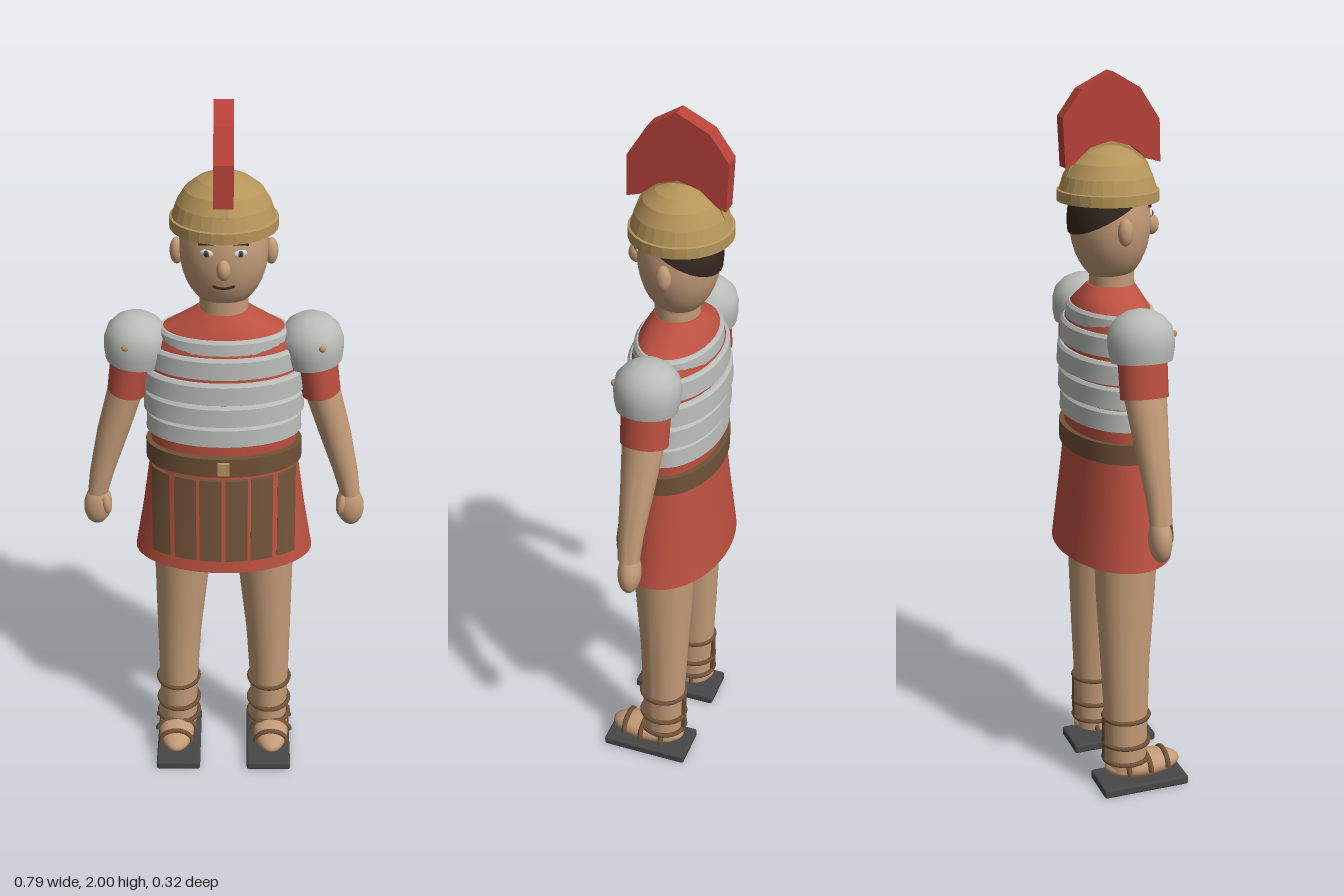
import * as THREE from 'three';
import { toCreasedNormals } from 'three/addons/utils/BufferGeometryUtils.js';
import { RoundedBoxGeometry } from 'three/addons/geometries/RoundedBoxGeometry.js';

const paint = (name, color) => {
  const m = new THREE.MeshStandardMaterial({ color });
  m.name = name;
  return m;
};

// Closed solid through elliptical rings, listed bottom to top as [cx, y, cz, rx, rz]
function loft(rings, sides = 32, crease = 0.5) {
  const pos = [], idx = [];
  for (const [cx, y, cz, rx, rz] of rings) {
    for (let i = 0; i < sides; i++) {
      const a = (i / sides) * Math.PI * 2;
      pos.push(cx + rx * Math.cos(a), y, cz + rz * Math.sin(a));
    }
  }
  const last = (rings.length - 1) * sides, c = rings.length * sides;
  for (const r of [rings[0], rings[rings.length - 1]]) pos.push(r[0], r[1], r[2]);
  for (let i = 0; i < sides; i++) {
    const j = (i + 1) % sides;
    for (let k = 0; k < last; k += sides) {
      idx.push(k + i, k + sides + i, k + j, k + j, k + sides + i, k + sides + j);
    }
    idx.push(c, i, j, c + 1, last + j, last + i);
  }
  const g = new THREE.BufferGeometry();
  g.setAttribute('position', new THREE.Float32BufferAttribute(pos, 3));
  g.setIndex(idx);
  return toCreasedNormals(g, crease);
}

export function createModel() {
  const model = new THREE.Group();
  const skin = paint('skin', 0xc49c78), red = paint('tunic red', 0xbc5140);
  const plume = paint('crest red', 0xb9423a), steel = paint('steel', 0xb9bcb8);
  const brass = paint('brass', 0xb6955a), leather = paint('leather', 0x705238);
  const soleGrey = paint('sole grey', 0x484848), dark = paint('hair brown', 0x35281f);
  const white = paint('eye white', 0xe4e0d8), iris = paint('iris grey', 0x4a5560);

  const add = (name, geo, mat, x = 0, y = 0, z = 0) => {
    const m = new THREE.Mesh(geo, mat);
    m.name = name;
    m.position.set(x, y, z);
    model.add(m);
    return m;
  };
  const ball = (name, mat, x, y, z, rx, ry, rz) => {
    const m = add(name, new THREE.SphereGeometry(1, 28, 18), mat, x, y, z);
    m.scale.set(rx, ry, rz);
    return m;
  };

  // Tunic body, collar and skirt
  add('tunicBody', loft([
    [0, 0.98, -0.005, 0.2, 0.115], [0, 1.1, -0.005, 0.2, 0.115], [0, 1.25, -0.005, 0.205, 0.12],
    [0, 1.34, -0.005, 0.195, 0.115], [0, 1.39, -0.005, 0.165, 0.1], [0, 1.425, -0.005, 0.1, 0.08],
    [0, 1.447, -0.003, 0.068, 0.064]]), red);
  add('skirt', loft([
    [0, 0.705, -0.003, 0.25, 0.155], [0, 0.85, -0.003, 0.225, 0.138], [0, 1.01, -0.003, 0.202, 0.12]], 40), red);
  add('neck', loft([[0, 1.4, 0, 0.064, 0.06], [0, 1.5, 0, 0.064, 0.06]]), skin);

  // Overlapping armour hoops: [bottom, top, rx, rz]
  [[1.09, 1.146, 0.212, 0.128], [1.153, 1.211, 0.218, 0.132], [1.22, 1.278, 0.22, 0.135],
    [1.29, 1.347, 0.207, 0.127], [1.353, 1.392, 0.178, 0.112]].forEach(([b, t, rx, rz]) =>
    add('armourHoop', loft([
      [0, b, -0.005, rx, rz], [0, t - 0.008, -0.005, rx - 0.003, rz - 0.003],
      [0, t, -0.005, rx - 0.01, rz - 0.01]], 40), steel));

  // Belt, buckle and hanging straps that follow the skirt
  add('belt', loft([[0, 1.0, -0.003, 0.214, 0.132], [0, 1.055, -0.003, 0.214, 0.132]], 40), leather);
  add('buckle', new THREE.BoxGeometry(0.032, 0.036, 0.014), brass, 0, 1.028, 0.13);
  const skirtZ = (x, y) => {
    const k = (1 - y) / 0.29;
    const rx = 0.205 + 0.047 * k, rz = 0.123 + 0.034 * k;
    return rz * Math.sqrt(Math.max(0, 1 - (x / rx) ** 2));
  };
  for (const s of [-1, 1]) {
    for (const [x, w] of [[0.036, 0.06], [0.105, 0.06], [0.173, 0.05]]) {
      const g = new THREE.BoxGeometry(w, 0.24, 0.014, 5, 4, 1).translate(s * x, 0.868, 0);
      const p = g.attributes.position;
      for (let i = 0; i < p.count; i++) p.setZ(i, p.getZ(i) + skirtZ(p.getX(i), p.getY(i)));
      g.computeVertexNormals();
      add('skirtStrap', g, leather);
    }
  }

  // Head and face
  ball('head', skin, 0, 1.615, -0.005, 0.116, 0.166, 0.107);
  const faceZ = (x, y) => -0.005 + 0.107 * Math.sqrt(1 - (x / 0.116) ** 2 - ((y - 1.615) / 0.166) ** 2);
  ball('nose', skin, 0, 1.597, 0.113, 0.018, 0.027, 0.02);
  const hairGeo = new THREE.SphereGeometry(1, 32, 16, 0, Math.PI * 2, 0, 1.374);
  hairGeo.rotateX(-0.37).scale(0.12, 0.168, 0.113);
  add('hair', hairGeo, dark, 0, 1.615, -0.005);
  const mouth = [-0.028, -0.014, 0, 0.014, 0.028].map((x) => {
    const y = 1.538 + 8 * x * x;
    return new THREE.Vector3(x, y, faceZ(x, y));
  });
  add('mouth', new THREE.TubeGeometry(new THREE.CatmullRomCurve3(mouth), 12, 0.0035, 6), dark);
  for (const s of [-1, 1]) {
    ball('ear', skin, s * 0.122, 1.603, -0.005, 0.018, 0.036, 0.02);
    const x = s * 0.043, z = faceZ(0.043, 1.635);
    ball('eye', white, x, 1.635, z, 0.018, 0.01, 0.005).rotation.y = s * 0.4;
    ball('iris', iris, x, 1.635, z + 0.003, 0.008, 0.009, 0.004).rotation.y = s * 0.4;
    ball('pupil', dark, x, 1.635, z + 0.005, 0.004, 0.005, 0.003);
    const brow = add('eyebrow', new THREE.BoxGeometry(0.042, 0.008, 0.009), dark, x, 1.66, faceZ(0.043, 1.66));
    brow.rotation.set(-0.3, s * 0.4, -s * 0.06);
  }

  // Helmet, ridge and crest
  add('helmet', loft([
    [0, 1.67, -0.01, 0.14, 0.135], [0, 1.698, -0.01, 0.14, 0.135], [0, 1.7, -0.01, 0.134, 0.129],
    [0, 1.735, -0.01, 0.122, 0.118], [0, 1.77, -0.01, 0.1, 0.097], [0, 1.795, -0.01, 0.068, 0.066],
    [0, 1.81, -0.01, 0.03, 0.03], [0, 1.813, -0.01, 0.002, 0.002]], 28, 0.2), brass);
  const sideSlab = (pts, width) => {
    const shape = new THREE.Shape(pts.map(([z, y]) => new THREE.Vector2(-z, y)));
    return new THREE.ExtrudeGeometry(shape, { depth: width, bevelEnabled: false })
      .translate(0, 0, -width / 2).rotateY(Math.PI / 2);
  };
  const arch = (r, h, y0) => Array.from({ length: 13 }, (_, i) => {
    const a = (i / 12) * Math.PI;
    return [-0.01 + r * Math.cos(a), y0 + h * Math.sin(a)];
  });
  add('crestRidge', sideSlab(arch(0.122, 0.125, 1.703), 0.024), brass);
  add('crest', sideSlab([
    [0.127, 1.765], [0.124, 1.875], [0.07, 1.957], [-0.005, 2], [-0.09, 1.957], [-0.14, 1.888],
    [-0.134, 1.76], [-0.11, 1.77], [-0.065, 1.81], [-0.01, 1.825], [0.045, 1.81], [0.09, 1.775]], 0.05), plume);

  for (const s of [-1, 1]) {
    // Arm, sleeve, hand and shoulder guard
    add('arm', loft([
      [s * 0.352, 0.885, 0.01, 0.028, 0.03], [s * 0.338, 0.95, 0.009, 0.034, 0.034],
      [s * 0.302, 1.08, 0.002, 0.045, 0.045], [s * 0.266, 1.2, -0.002, 0.05, 0.056],
      [s * 0.235, 1.33, -0.003, 0.055, 0.058]], 24, 0.9), skin);
    add('sleeve', loft([
      [s * 0.262, 1.2, -0.003, 0.052, 0.064], [s * 0.235, 1.35, -0.003, 0.062, 0.066]], 28), red)
      .geometry.attributes.position.array.forEach((v, i, a) => {
        // hem dips towards the body
        if (i % 3 === 0 && a[i + 1] < 1.25) a[i + 1] += (s * v - 0.262) * 0.2;
      });
    ball('hand', skin, s * 0.354, 0.842, 0.008, 0.039, 0.062, 0.031).rotation.z = s * 0.12;
    ball('thumb', skin, s * 0.328, 0.852, 0.026, 0.013, 0.032, 0.013).rotation.z = -s * 0.15;
    const guard = loft([
      [0, -0.06, 0, 0.077, 0.08], [0, -0.03, 0, 0.084, 0.086], [0, 0, 0, 0.086, 0.087],
      [0, 0.03, 0, 0.079, 0.081], [0, 0.055, 0, 0.059, 0.06], [0, 0.07, 0, 0.034, 0.034],
      [0, 0.076, 0, 0.002, 0.002]], 32, 0.8);
    add('shoulderGuard', guard, steel, s * 0.232, 1.352, -0.003).rotation.z = -s * -0.12;
    ball('shoulderStud', brass, s * 0.257, 1.362, 0.078, 0.009, 0.009, 0.008);

    // Leg and foot
    add('leg', loft([
      [s * 0.136, 0.06, -0.005, 0.054, 0.058], [s * 0.136, 0.2, -0.005, 0.056, 0.062],
      [s * 0.131, 0.4, -0.007, 0.064, 0.07], [s * 0.121, 0.6, -0.003, 0.076, 0.083],
      [s * 0.115, 0.76, 0, 0.084, 0.09]], 28, 0.9), skin);
    ball('foot', skin, s * 0.142, 0.066, 0.042, 0.053, 0.037, 0.112);

    // Sandal: sole, ankle rings, heel strap and instep straps
    add('sole', new RoundedBoxGeometry(0.13, 0.027, 0.255, 2, 0.007), soleGrey, s * 0.135, 0.0135, 0.038);
    for (const y of [0.093, 0.145, 0.225]) {
      const ring = new THREE.TorusGeometry(0.06, 0.0065, 8, 28).rotateX(Math.PI / 2).scale(1, 1, 1.08);
      add('ankleStrap', ring, leather, s * 0.136, y, -0.005);
    }
    add('heelStrap', new THREE.BoxGeometry(0.02, 0.135, 0.01), leather, s * 0.136, 0.162, -0.069);
    for (const [z, r] of [[0.105, 0.046], [0.05, 0.056], [-0.015, 0.056]]) {
      const band = new THREE.TorusGeometry(1, 0.16, 8, 16, Math.PI).scale(r, 0.037, 0.05);
      add('instepStrap', band, leather, s * 0.142, 0.062, z);
    }
  }
  return model;
}
